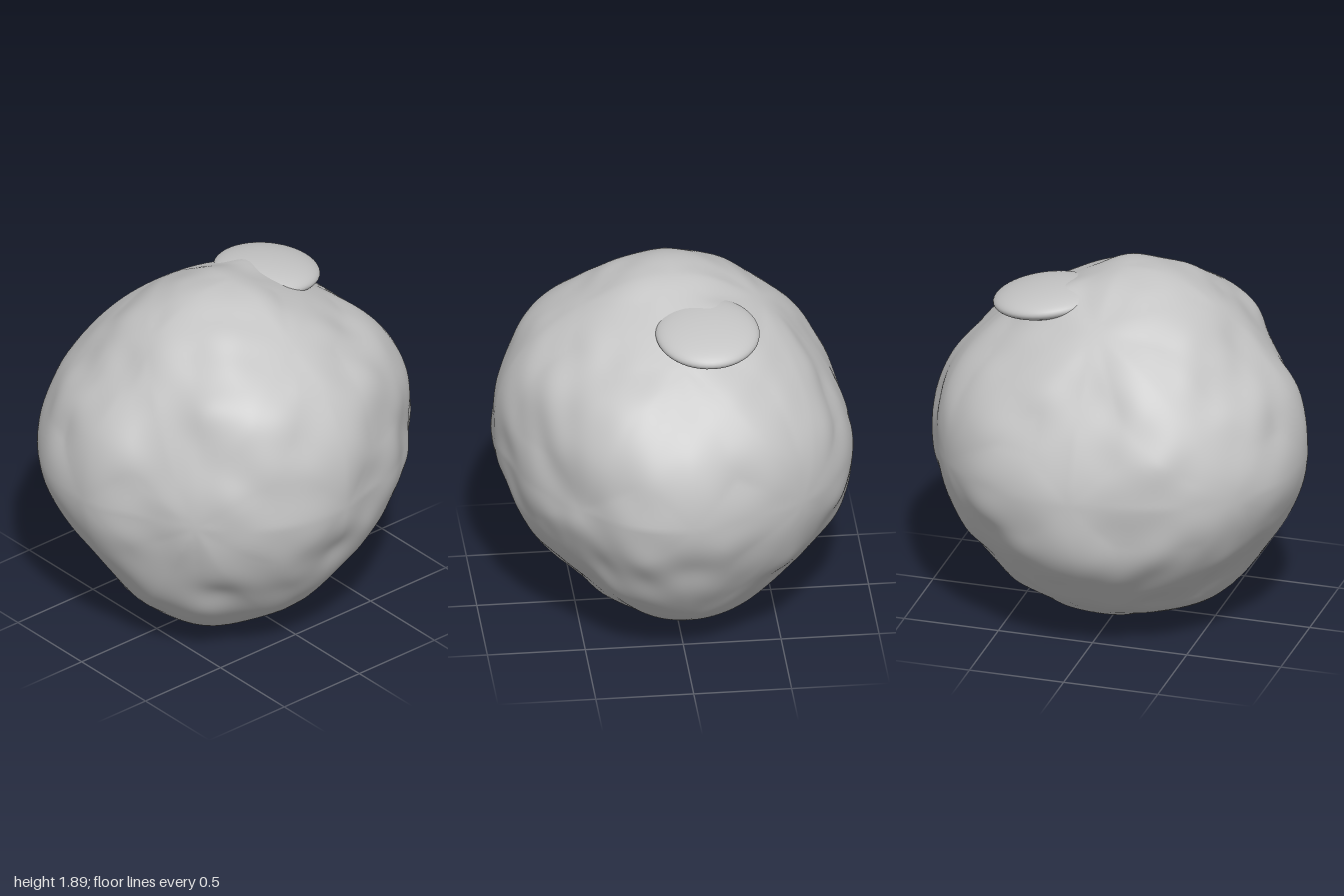
import * as THREE from 'three';
import { mergeVertices } from 'three/addons/utils/BufferGeometryUtils.js';

const CY = 0.96; // height of the boulder's centre

// Cross-sections through the centre: the plane's facing direction (degrees)
// and its radius in hundredths, every 20 degrees
const sections = [
  { azimuth: 0, elevation: 0,
    radii: [98, 96.5, 89, 86, 89, 96.5, 95.5, 93, 98.5, 99, 95, 92, 97, 95, 94, 94.5, 94, 95] },
  { azimuth: 90, elevation: 0,
    radii: [90, 86.5, 84, 87.5, 94.5, 95.5, 91.5, 94, 94.5, 91.5, 88, 89, 93.5, 95.5, 94, 91.5, 90.5, 94.5] },
  { azimuth: 0, elevation: 90,
    radii: [99, 94.5, 95.5, 94.5, 92.5, 90.5, 94, 98.5, 101.5, 98, 90, 91.5, 93.5, 93, 87, 88.5, 86.5, 97] },
  { azimuth: 38, elevation: 25,
    radii: [95.5, 94.5, 89, 88, 91.5, 93.5, 92.5, 90.5, 89.5, 91.5, 92.5, 90.5, 92.5, 91.5, 90.5, 96, 91, 93] },
  { azimuth: 218, elevation: 25,
    radii: [92.5, 91.5, 97.5, 93, 90, 87, 88, 93, 97, 95, 91.5, 89, 89.5, 90, 92.5, 97, 95.5, 90.5] },
  { azimuth: 142, elevation: -25,
    radii: [99, 95.5, 92, 90.5, 90, 90, 88.5, 94, 95.5, 90, 87, 84.5, 83, 92, 98, 95, 89.5, 94.5] },
].map(({ azimuth, elevation, radii }) => {
  const a = THREE.MathUtils.degToRad(azimuth), e = THREE.MathUtils.degToRad(elevation);
  return {
    right: new THREE.Vector3(Math.cos(a), 0, -Math.sin(a)),
    up: new THREE.Vector3(-Math.sin(a) * Math.sin(e), Math.cos(e), -Math.cos(a) * Math.sin(e)),
    facing: new THREE.Vector3(Math.sin(a) * Math.cos(e), Math.sin(e), Math.cos(a) * Math.cos(e)),
    radii,
  };
});

// Smooth periodic radius of a section in direction d
function sectionRadius({ right, up, radii }, d) {
  const n = radii.length;
  const t = (Math.atan2(d.dot(up), d.dot(right)) / (2 * Math.PI) + 1) * n;
  const i = Math.floor(t), f = t - i;
  const [p0, p1, p2, p3] = [-1, 0, 1, 2].map(k => radii[(i + k + n) % n]);
  const slope1 = (p2 - p0) / 2, slope2 = (p3 - p1) / 2;
  const a = 2 * (p1 - p2) + slope1 + slope2, b = 3 * (p2 - p1) - 2 * slope1 - slope2;
  return (((a * f + b) * f + slope1) * f + p1) / 100;
}

// Local dents (-) and bumps (+): x, y, z of the direction and height
const lumps = [
  [-0.6, -0.52, 0.6, -0.025], [0, -0.3, 0.85, -0.025], [0.72, -0.1, 0.6, 0.02],
  [-0.6, 0.18, 0.72, 0.02], [0.9, -0.3, 0, -0.02], [-0.68, 0.7, -0.07, -0.02],
  [0.25, 0.82, -0.17, 0.03],
].map(([x, y, z, height]) => ({ dir: new THREE.Vector3(x, y, z).normalize(), height }));

function boulderGeometry() {
  let geo = new THREE.IcosahedronGeometry(1, 48);
  geo.deleteAttribute('uv');
  geo.deleteAttribute('normal');
  geo = mergeVertices(geo, 1e-5);
  const pos = geo.attributes.position;
  const d = new THREE.Vector3();
  for (let i = 0; i < pos.count; i++) {
    d.fromBufferAttribute(pos, i).normalize();
    // Blend the sections by closeness to their planes
    let sum = 0, total = 0, nearest = 1;
    for (const s of sections) {
      const n = d.dot(s.facing);
      const w = (1 - n * n) ** 2 / (n * n + 0.015);
      sum += w * sectionRadius(s, d);
      total += w;
      nearest = Math.min(nearest, Math.abs(n));
    }
    // Soft rolling unevenness, fading out at the sections
    const noise = Math.sin(7 * d.x + 3 * d.y + 1) * Math.sin(8 * d.y - 4 * d.z + 2) * Math.sin(7 * d.z + 3 * d.x)
      + 0.5 * Math.sin(13 * d.x - 5 * d.z) * Math.sin(14 * d.y + 4 * d.x + 1) * Math.sin(12 * d.z + 2);
    let r = sum / total + Math.min(1, 4 * nearest) * (0.015 * noise - 0.006);
    for (const l of lumps) r += l.height * Math.exp(-((d.angleTo(l.dir) / 0.13) ** 2));
    d.multiplyScalar(r);
    pos.setXYZ(i, THREE.MathUtils.clamp(d.x, -1, 1), Math.max(0, d.y + CY), d.z);
  }
  geo.computeVertexNormals();
  return geo;
}

export function createModel() {
  const stone = new THREE.MeshStandardMaterial({ color: 0xc4c4c4 });
  stone.name = 'stoneGrey';
  const model = new THREE.Group();
  model.name = 'boulder';

  // Lumpy round body
  const body = new THREE.Mesh(boulderGeometry(), stone);
  body.name = 'body';
  model.add(body);

  // Flat rounded flap half sunk into the upper left
  const flap = new THREE.Mesh(new THREE.SphereGeometry(1, 48, 32), stone);
  flap.name = 'flap';
  flap.scale.set(0.28, 0.075, 0.265);
  flap.position.set(0.35, 1.75, -0.14);
  flap.rotation.z = -0.14;
  model.add(flap);

  return model;
}
